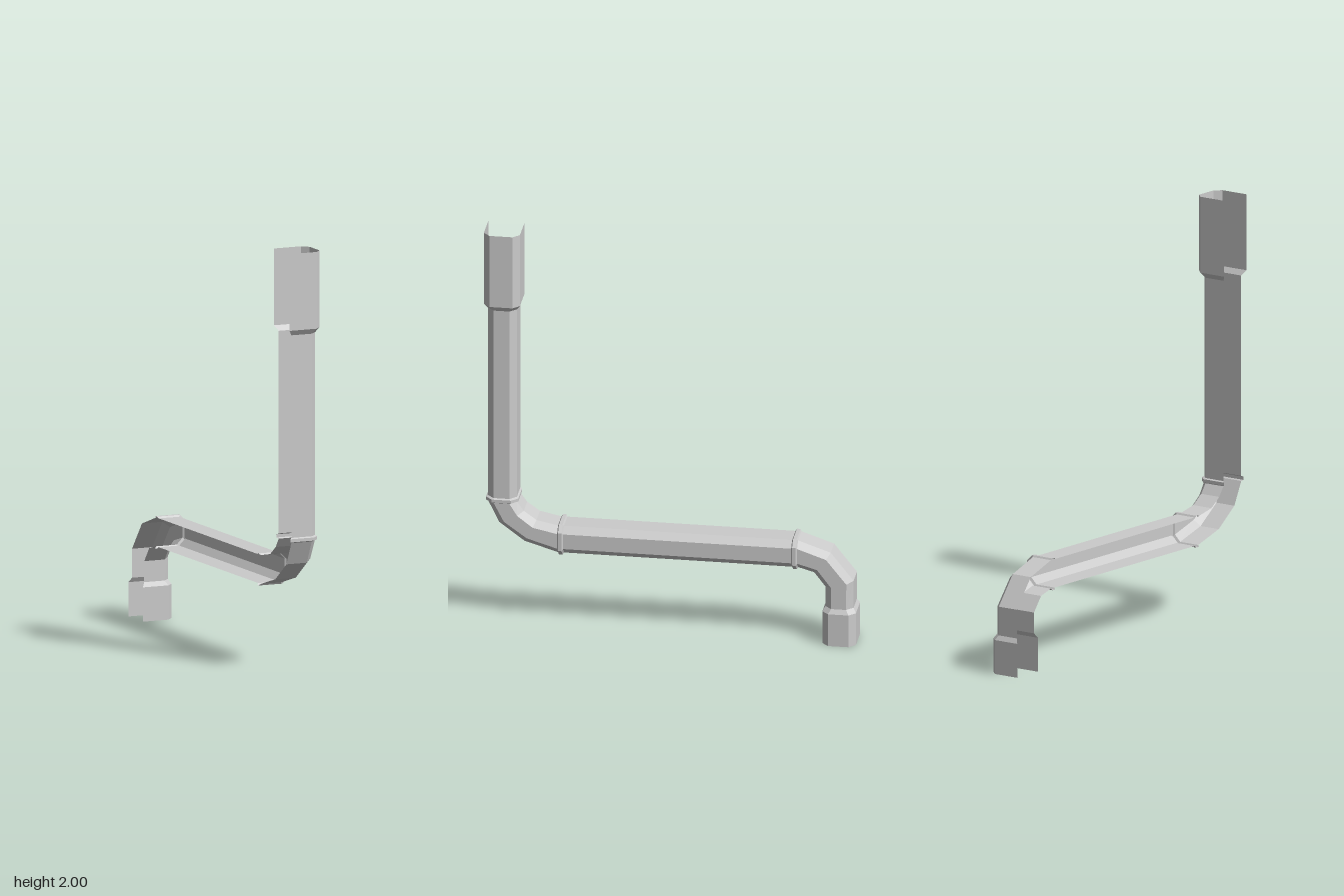
import * as THREE from 'three';

const material = new THREE.MeshStandardMaterial({ color: 0xcccccc, flatShading: true, side: THREE.DoubleSide });
const BEVEL = 0.031;

// One open channel section (bevelled U, open towards -x) between two side points [z, y], enlarged by grow
function section([az, ay, bz, by, grow = 0]) {
  const length = Math.hypot(bz - az, by - ay);
  const at = (x, d) => [x, ay + (by - ay) * d / length, az + (bz - az) * d / length];
  const back = -0.071 - grow, face = 0.066 + grow;
  const d0 = -grow, d1 = length + grow;
  return [
    at(back, d0), at(face - BEVEL, d0), at(face, d0 + BEVEL),
    at(face, d1 - BEVEL), at(face - BEVEL, d1), at(back, d1),
  ];
}

// Skin a run of sections
function channel(name, stations) {
  const rows = stations.map(section);
  const index = [];
  const n = rows[0].length;
  for (let k = 0; k < rows.length - 1; k++) {
    for (let j = 0; j < n - 1; j++) {
      const a = k * n + j, b = a + 1, c = a + n, d = c + 1;
      index.push(a, c, b, b, c, d);
    }
  }
  const geometry = new THREE.BufferGeometry();
  geometry.setAttribute('position', new THREE.Float32BufferAttribute(rows.flat(2), 3));
  geometry.setIndex(index);
  const flat = geometry.toNonIndexed();
  flat.computeVertexNormals();
  const mesh = new THREE.Mesh(flat, material);
  mesh.name = name;
  return mesh;
}

// Stations on the upright, the level run and the short outlet
const upright = (y, grow) => [0.87, y, 0.733, y, grow];
const level = (z, grow) => [z, 0.376, z, 0.513, grow];
const outlet = (y, grow) => [-0.729, y, -0.862, y, grow];

// Small raised band around a joint
const band = (name, at, from, to) => {
  const step = (to - from) * 0.2;
  return channel(name, [at(from, 0), at(from + step, 0.008), at(to - step, 0.008), at(to, 0)]);
};

export function createModel() {
  const group = new THREE.Group();
  group.name = 'drainPipe';
  group.add(
    channel('topSocket', [upright(2, 0.017), upright(1.635, 0.017), upright(1.61, 0)]),
    channel('uprightPipe', [upright(1.61, 0), upright(0.647, 0)]),
    band('uprightBand', upright, 0.647, 0.622),
    // Lower bend
    channel('lowerElbow', [
      upright(0.622, 0), [0.817, 0.513, 0.7, 0.577], [0.696, 0.423, 0.64, 0.534], level(0.538, 0),
    ]),
    band('frontBand', level, 0.538, 0.51),
    channel('levelPipe', [level(0.51, 0), level(-0.571, 0)]),
    band('rearBand', level, -0.571, -0.599),
    // Downward bend into the outlet
    channel('outletElbow', [
      level(-0.599, 0), [-0.675, 0.355, -0.754, 0.46], [-0.729, 0.285, -0.862, 0.323], outlet(0.185, 0),
    ]),
    channel('outletSocket', [outlet(0.185, 0), outlet(0.163, 0.013), outlet(0, 0.013)]),
  );
  return group;
}
